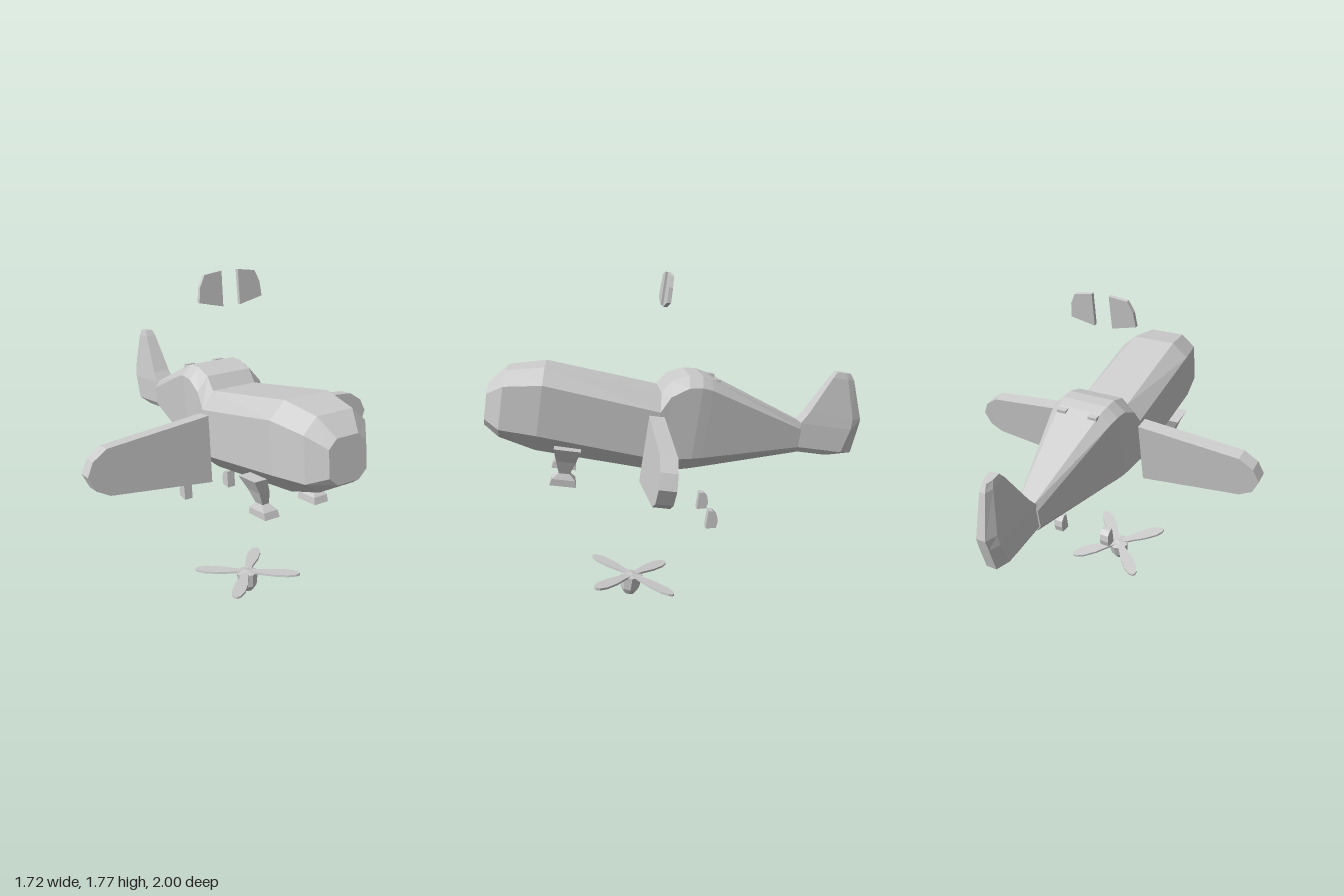
import * as THREE from 'three';

const material = new THREE.MeshStandardMaterial({ color: 0xcccccc, flatShading: true });

// Closed faceted solid through rings of [x, y, z] points, wound outwards
function loft(rings) {
  const n = rings[0].length, tris = [];
  const centre = (r) => [0, 1, 2].map((k) => r.reduce((s, p) => s + p[k], 0) / n);
  const first = centre(rings[0]), last = centre(rings[rings.length - 1]);
  for (let j = 0; j < n; j++) {
    const k = (j + 1) % n;
    for (let i = 0; i < rings.length - 1; i++) {
      const a = rings[i][j], b = rings[i][k], c = rings[i + 1][k], d = rings[i + 1][j];
      tris.push([a, b, c], [a, c, d]);
    }
    tris.push([first, rings[0][k], rings[0][j]]);
    tris.push([last, rings[rings.length - 1][j], rings[rings.length - 1][k]]);
  }
  let volume = 0;
  for (const [a, b, c] of tris) {
    volume += new THREE.Vector3(...a).dot(new THREE.Vector3(...b).cross(new THREE.Vector3(...c)));
  }
  if (volume < 0) tris.forEach((t) => t.reverse());
  const geo = new THREE.BufferGeometry();
  geo.setAttribute('position', new THREE.Float32BufferAttribute(tris.flat(2), 3));
  geo.computeVertexNormals();
  return geo;
}

// Flat plate in the xy plane, centred on z, mirrored in x when side is -1
function plate(points, thickness, z, side = 1) {
  const ring = (dz) => points.map(([x, y]) => [x * side, y, z + dz]);
  return loft([ring(-thickness / 2), ring(thickness / 2)]);
}

function add(parent, name, geometry, x = 0, y = 0, z = 0) {
  const mesh = new THREE.Mesh(geometry, material);
  mesh.name = name;
  mesh.position.set(x, y, z);
  parent.add(mesh);
  return mesh;
}

export function createModel() {
  const model = new THREE.Group();
  model.name = 'toyPlane';

  // Everything shares one tilted frame: nose up and turned slightly
  const plane = new THREE.Group();
  plane.name = 'tiltedPlane';
  plane.rotation.set(-0.155, -0.19, -0.02, 'YXZ');
  plane.position.y = 1;
  model.add(plane);

  // Fuselage with canopy: z, half width, top, bottom, flat top, upper shoulder, lower shoulder, flat bottom
  const sections = [
    [1.0, 0.105, 0.07, -0.14, 0.06, 0.03, -0.1, 0.06],
    [0.92, 0.175, 0.16, -0.185, 0.1, 0.09, -0.13, 0.1],
    [0.73, 0.21, 0.205, -0.23, 0.125, 0.127, -0.13, 0.11],
    [0.13, 0.2, 0.155, -0.26, 0.13, 0.066, -0.18, 0.12],
    [0.085, 0.195, 0.225, -0.258, 0.13, 0.15, -0.175, 0.12],
    [0.0, 0.19, 0.262, -0.25, 0.13, 0.205, -0.17, 0.115],
    [-0.07, 0.185, 0.268, -0.237, 0.13, 0.215, -0.16, 0.108],
    [-0.126, 0.175, 0.257, -0.225, 0.12, 0.207, -0.152, 0.1],
    [-0.67, 0.06, 0.074, -0.094, 0.042, 0.04, -0.06, 0.035],
  ];
  add(plane, 'fuselage', loft(sections.map(([z, w, t, b, tw, su, sl, bw]) => [
    [tw, t, z], [w, su, z], [w, sl, z], [bw, b, z],
    [-bw, b, z], [-w, sl, z], [-w, su, z], [-tw, t, z],
  ])), 0.005);

  // Tail fin: height, front z, rear crease z, rear z, half width
  const fin = [
    [-0.09, -0.66, -0.83, -0.87, 0.035],
    [-0.06, -0.66, -0.92, -0.985, 0.055],
    [0.074, -0.66, -0.95, -1.0, 0.055],
    [0.13, -0.697, -0.95, -1.005, 0.05],
    [0.34, -0.8, -0.885, -0.925, 0.03],
    [0.373, -0.82, -0.865, -0.9, 0.022],
  ];
  add(plane, 'tailFin', loft(fin.map(([y, f, m, r, w]) => [
    [w, y, f], [w, y, m], [w * 0.5, y, r], [-w * 0.5, y, r], [-w, y, m], [-w, y, f],
  ])), 0.008);

  const wing = [
    [0.195, 0.045], [0.76, -0.006], [0.835, -0.056], [0.868, -0.125],
    [0.835, -0.2], [0.765, -0.24], [0.2, -0.31],
  ];
  const glass = [[0.048, 0.753], [0.147, 0.74], [0.175, 0.685], [0.185, 0.61], [0.05, 0.58]];
  // Landing leg: height, x, half width, half depth
  const leg = [
    [-0.18, 0.205, 0.035, 0.068], [-0.25, 0.175, 0.028, 0.05], [-0.32, 0.157, 0.02, 0.028],
    [-0.35, 0.152, 0.04, 0.06], [-0.385, 0.15, 0.042, 0.068],
  ];
  const halfWheel = [[0.03, 0.05], [0.005, 0.05], [-0.02, 0.03], [-0.03, -0.005], [-0.025, -0.04], [0.03, -0.05]];

  for (const side of [1, -1]) {
    const label = side > 0 ? 'left' : 'right';
    add(plane, label + 'Wing', plate(wing, 0.08, 0.145, side));
    add(plane, label + 'Windscreen', plate(glass, 0.02, 0.168, side), -0.01);
    add(plane, label + 'Leg', loft(leg.map(([y, x, w, d]) => [
      [side * x + w, y, 0.57 + d], [side * x + w, y, 0.57 - d],
      [side * x - w, y, 0.57 - d], [side * x - w, y, 0.57 + d],
    ])));
    add(plane, label + 'CanopyTab', new THREE.BoxGeometry(0.05, 0.025, 0.03), side * 0.09, 0.245, -0.155);
    // Half wheel, flat side forward
    add(plane, label + 'HalfWheel', loft([-0.025, 0.025].map((x) => halfWheel.map(([z, y]) => [x, y, z]))),
      0.014 + side * 0.148, -0.488, -0.24);
  }

  // Propeller lying flat, spinner pointing down
  const propeller = new THREE.Group();
  propeller.name = 'propeller';
  propeller.position.set(0.019, -0.92, 0.124);
  plane.add(propeller);
  const spinner = [[0, -0.108], [0.03, -0.108], [0.052, -0.075], [0.062, 0], [0, 0.012]];
  add(propeller, 'spinner', new THREE.LatheGeometry(spinner.map((p) => new THREE.Vector2(...p)), 8));
  const half = [[0.02, 0.018], [0.08, 0.023], [0.16, 0.036], [0.24, 0.036], [0.285, 0.022], [0.3, 0.006]];
  const outline = [...half, ...half.map(([x, y]) => [x, -y]).reverse()];
  for (let i = 0; i < 4; i++) {
    const blade = add(propeller, 'blade', plate(outline, 0.012, 0));
    blade.rotation.set(Math.PI / 2, 0, Math.PI / 4 + i * Math.PI / 2);
  }
  return model;
}
